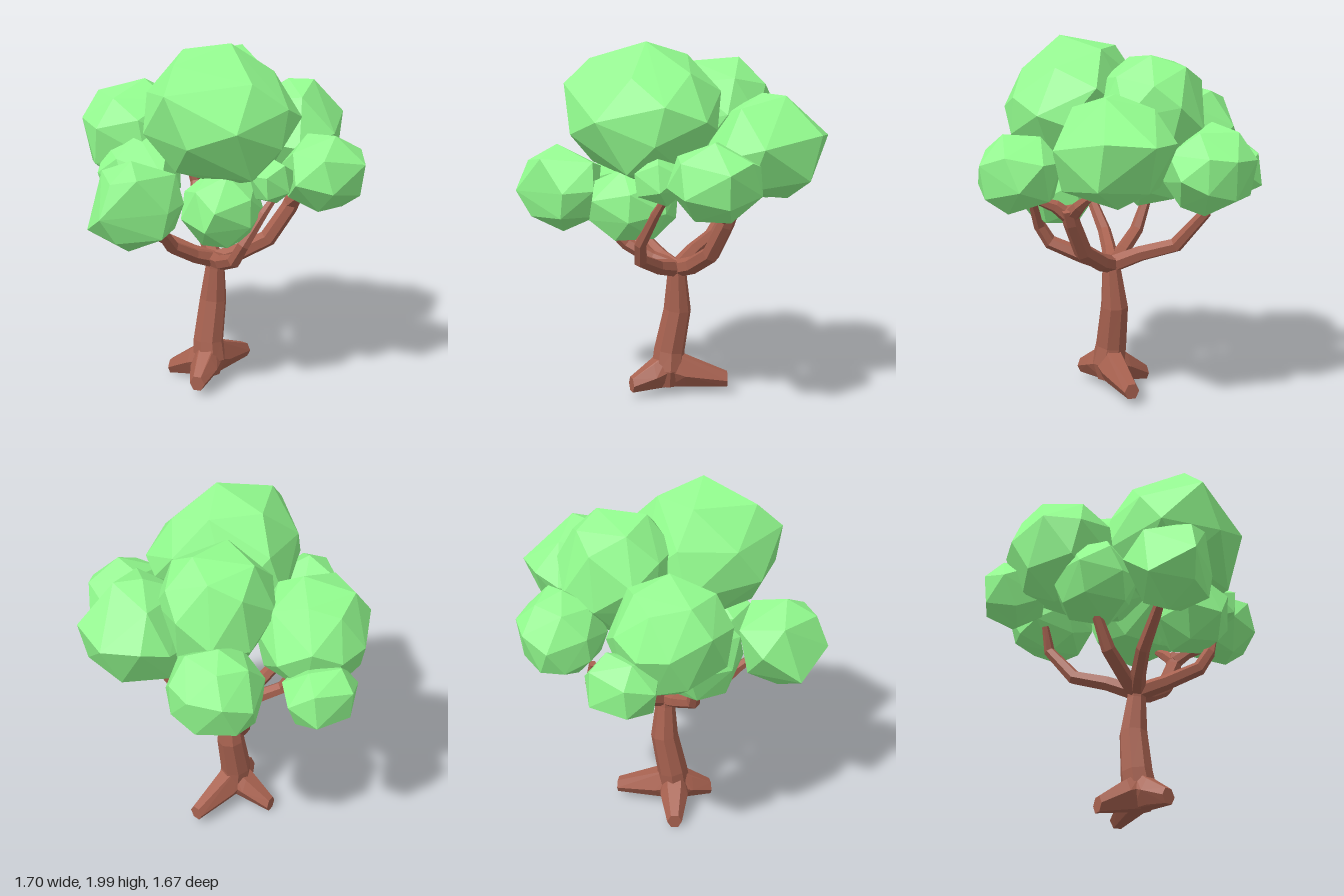
import * as THREE from 'three';
import { ConvexGeometry } from 'three/addons/geometries/ConvexGeometry.js';

const bark = new THREE.MeshStandardMaterial({ color: 0xa86250, flatShading: true });
const leaf = new THREE.MeshStandardMaterial({ color: 0x94ff90, flatShading: true });

function seeded(seed) {
  let s = seed * 7919 + 17;
  return () => ((s = (s * 16807) % 2147483647) / 2147483647);
}

// Tapered faceted limb through stations [x, y, z, radius], closed at both ends
function limb(name, stations, sides = 6) {
  const pts = stations.map(([x, y, z]) => new THREE.Vector3(x, y, z));
  const dirs = pts.map((p, i) =>
    pts[Math.min(i + 1, pts.length - 1)].clone().sub(pts[Math.max(i - 1, 0)]).normalize());
  const frame = new THREE.Quaternion().setFromUnitVectors(new THREE.Vector3(0, 1, 0), dirs[0]);
  const pos = [], idx = [];
  pts.forEach((p, i) => {
    if (i) frame.premultiply(new THREE.Quaternion().setFromUnitVectors(dirs[i - 1], dirs[i]));
    for (let k = 0; k < sides; k++) {
      const a = (k / sides) * Math.PI * 2, r = stations[i][3];
      const v = new THREE.Vector3(Math.sin(a) * r, 0, Math.cos(a) * r).applyQuaternion(frame).add(p);
      pos.push(v.x, v.y, v.z);
    }
  });
  const last = (pts.length - 1) * sides;
  for (let i = 0; i < last; i += sides) {
    for (let k = 0; k < sides; k++) {
      const n = (k + 1) % sides;
      idx.push(i + k, i + n, i + sides + n, i + k, i + sides + n, i + sides + k);
    }
  }
  for (let k = 1; k < sides - 1; k++) idx.push(0, k + 1, k, last, last + k, last + k + 1);
  const geo = new THREE.BufferGeometry();
  geo.setAttribute('position', new THREE.Float32BufferAttribute(pos, 3));
  geo.setIndex(idx);
  const flat = geo.toNonIndexed();
  flat.computeVertexNormals();
  const mesh = new THREE.Mesh(flat, bark);
  mesh.name = name;
  return mesh;
}

// Convex faceted mesh through a few corner points
function hull(name, corners, material) {
  const mesh = new THREE.Mesh(new ConvexGeometry(corners), material);
  mesh.name = name;
  return mesh;
}

// Irregular leaf clump given by its corners
const carvedClump = (name, corners) => hull(name, corners.map((p) => new THREE.Vector3(...p)), leaf);

// Faceted leaf clump: hull of evenly spread, jittered points fitted to a box
function clump(centre, half, count, seed) {
  const rnd = seeded(seed);
  const turn = new THREE.Euler(rnd() * 6, rnd() * 6, rnd() * 6);
  const pts = [];
  for (let i = 0; i < count; i++) {
    const y = 1 - (2 * i + 1) / count, r = Math.sqrt(1 - y * y), a = i * 2.39996;
    const p = new THREE.Vector3(Math.cos(a) * r, y, Math.sin(a) * r);
    p.x += (rnd() - 0.5) * 0.2;
    p.y += (rnd() - 0.5) * 0.2;
    p.z += (rnd() - 0.5) * 0.2;
    pts.push(p.normalize().applyEuler(turn));
  }
  const box = new THREE.Box3().setFromPoints(pts);
  const mid = box.getCenter(new THREE.Vector3()), size = box.getSize(new THREE.Vector3());
  const h = new THREE.Vector3(...half);
  pts.forEach((p) => p.sub(mid).divide(size).multiplyScalar(2).multiply(h));
  const mesh = hull('leafClump', pts, leaf);
  mesh.position.set(...centre);
  return mesh;
}

export function createModel() {
  const tree = new THREE.Group();
  tree.name = 'tree';

  // Trunk, leaning slightly back
  tree.add(limb('trunk', [
    [0.01, 0.06, 0, 0.06], [0.005, 0.15, 0, 0.095], [-0.01, 0.26, -0.01, 0.088],
    [-0.005, 0.5, -0.055, 0.078], [0.01, 0.7, -0.05, 0.055], [0.01, 0.78, -0.045, 0.05],
  ], 8));

  // Three spreading roots, each a wedge from the trunk flank to a blunt toe
  const roots = new THREE.Group();
  roots.name = 'roots';
  [[-0.25, 0.055, 0.01], [0.05, 0.09, 0.215], [0.05, 0.095, -0.335]].forEach(([x, y, z]) => {
    const out = new THREE.Vector3(x, 0, z).normalize();
    const side = new THREE.Vector3(-out.z, 0, out.x);
    const corners = [];
    const ring = (centre, wide, low, high) => [[0.5, low], [1, (low + high) / 2], [0.5, high]].forEach(
      ([s, h]) => [-1, 1].forEach((sign) => corners.push(
        centre.clone().addScaledVector(side, sign * s * wide).setY(h))));
    ring(new THREE.Vector3(0, 0, 0), 0.085, 0.06, 0.27);
    ring(out.clone().multiplyScalar(0.1), 0.08, 0.06, 0.2);
    ring(new THREE.Vector3(x, 0, z), 0.043, y - 0.045, y + 0.036);
    roots.add(hull('root', corners, bark));
  });
  tree.add(roots);

  // Branches rising from the fork
  const branches = new THREE.Group();
  branches.name = 'branches';
  const fork = [0.01, 0.74, -0.05, 0.05];
  [
    [fork, [0.13, 0.78, 0.08, 0.043], [0.27, 0.85, 0.19, 0.04], [0.33, 0.95, 0.2, 0.035], [0.41, 1.12, 0.13, 0.026], [0.46, 1.22, 0.08, 0.018]],
    [fork, [0.12, 0.78, -0.12, 0.05], [0.27, 0.87, -0.19, 0.05], [0.37, 1.05, -0.25, 0.046], [0.4, 1.13, -0.27, 0.044]],
    [[0.38, 1.08, -0.25, 0.042], [0.45, 1.14, -0.22, 0.034], [0.55, 1.18, -0.18, 0.02]],
    [[0.38, 1.08, -0.25, 0.042], [0.37, 1.15, -0.33, 0.034], [0.35, 1.2, -0.4, 0.02]],
    [fork, [-0.11, 0.81, -0.16, 0.045], [-0.25, 0.87, -0.3, 0.042], [-0.35, 1.06, -0.43, 0.032], [-0.39, 1.2, -0.41, 0.02]],
    [fork, [-0.1, 0.79, 0.02, 0.042], [-0.25, 0.88, 0.11, 0.038], [-0.35, 1.1, 0.13, 0.025]],
    [fork, [-0.05, 0.79, 0.08, 0.042], [-0.1, 0.87, 0.22, 0.038], [-0.1, 1.02, 0.36, 0.03], [-0.11, 1.12, 0.47, 0.02]],
  ].forEach((path) => branches.add(limb('branch', path)));
  tree.add(branches);

  // Crown: centre, half size and point count of each clump
  const crown = new THREE.Group();
  crown.name = 'crown';
  [
    [[-0.49, 1.43, -0.01], [0.3, 0.31, 0.32], 26],
    [[-0.08, 1.59, -0.3], [0.3, 0.32, 0.31], 26],
    [[-0.28, 1.33, -0.575], [0.25, 0.24, 0.24], 24],
    [[-0.67, 1.24, -0.24], [0.18, 0.18, 0.19], 16],
    [[0.62, 1.32, -0.14], [0.23, 0.2, 0.24], 18],
    [[-0.36, 1.25, 0.14], [0.24, 0.23, 0.23], 20],
    [[0.21, 1.15, 0.22], [0.2, 0.2, 0.24], 20],
    [[0.45, 1.3, 0.11], [0.11, 0.13, 0.14], 12],
  ].forEach(([c, h, n], i) => crown.add(clump(c, h, n, i + 4)));

  // Largest clump at the top front, with its peak off centre
  crown.add(carvedClump('topClump', [
    [0.22, 2, 0.15], [-0.1, 1.94, 0.1], [0.1, 1.93, -0.09], [0.05, 1.91, 0.43],
    [0.36, 1.84, -0.06], [0.4, 1.82, 0.25], [0.22, 1.74, -0.25], [0.53, 1.68, 0.1],
    [-0.2, 1.75, 0.02], [-0.18, 1.74, 0.33], [0.08, 1.78, 0.57], [0.42, 1.6, 0.44],
    [0.2, 1.52, 0.55], [-0.12, 1.55, 0.46], [-0.26, 1.5, 0.07], [-0.08, 1.55, -0.17],
    [0.38, 1.55, -0.2], [0.5, 1.6, -0.12], [0.52, 1.48, 0.15], [0.42, 1.33, 0.28], [0.05, 1.36, 0.42],
    [-0.12, 1.36, 0.22], [0.05, 1.36, -0.08], [0.36, 1.32, -0.04], [0.22, 1.26, 0.18],
  ]));

  // Back clump, flattened on its outer flank
  crown.add(carvedClump('backClump', [
    [0.24, 1.73, -0.47], [0.35, 1.72, -0.57], [0.1, 1.66, -0.62], [0.4, 1.66, -0.32], [0.12, 1.62, -0.3],
    [0.23, 1.5, -0.84], [0.46, 1.52, -0.74], [0.56, 1.46, -0.41], [0.45, 1.4, -0.2], [-0.03, 1.45, -0.62],
    [0.05, 1.5, -0.75], [0.2, 1.42, -0.17], [-0.02, 1.4, -0.38], [0.46, 1.28, -0.68], [0.2, 1.26, -0.73],
    [0.02, 1.25, -0.55], [0.3, 1.17, -0.6], [0.48, 1.24, -0.35], [0.3, 1.2, -0.3], [0.1, 1.24, -0.35],
  ]));

  // Low clump reaching out at the front
  crown.add(carvedClump('frontClump', [
    [-0.1, 1.44, 0.6], [0, 1.37, 0.7], [-0.12, 1.35, 0.76], [-0.3, 1.36, 0.58], [-0.14, 1.18, 0.83],
    [0.11, 1.19, 0.59], [0.08, 1.05, 0.6], [-0.15, 0.94, 0.57], [-0.33, 1.06, 0.68], [-0.36, 1.22, 0.47],
    [-0.2, 1.3, 0.35], [0.05, 1.35, 0.42], [0.03, 1.05, 0.4], [-0.2, 1.04, 0.4], [-0.1, 1.04, 0.75], [0.1, 1.2, 0.42],
  ]));
  tree.add(crown);
  return tree;
}
